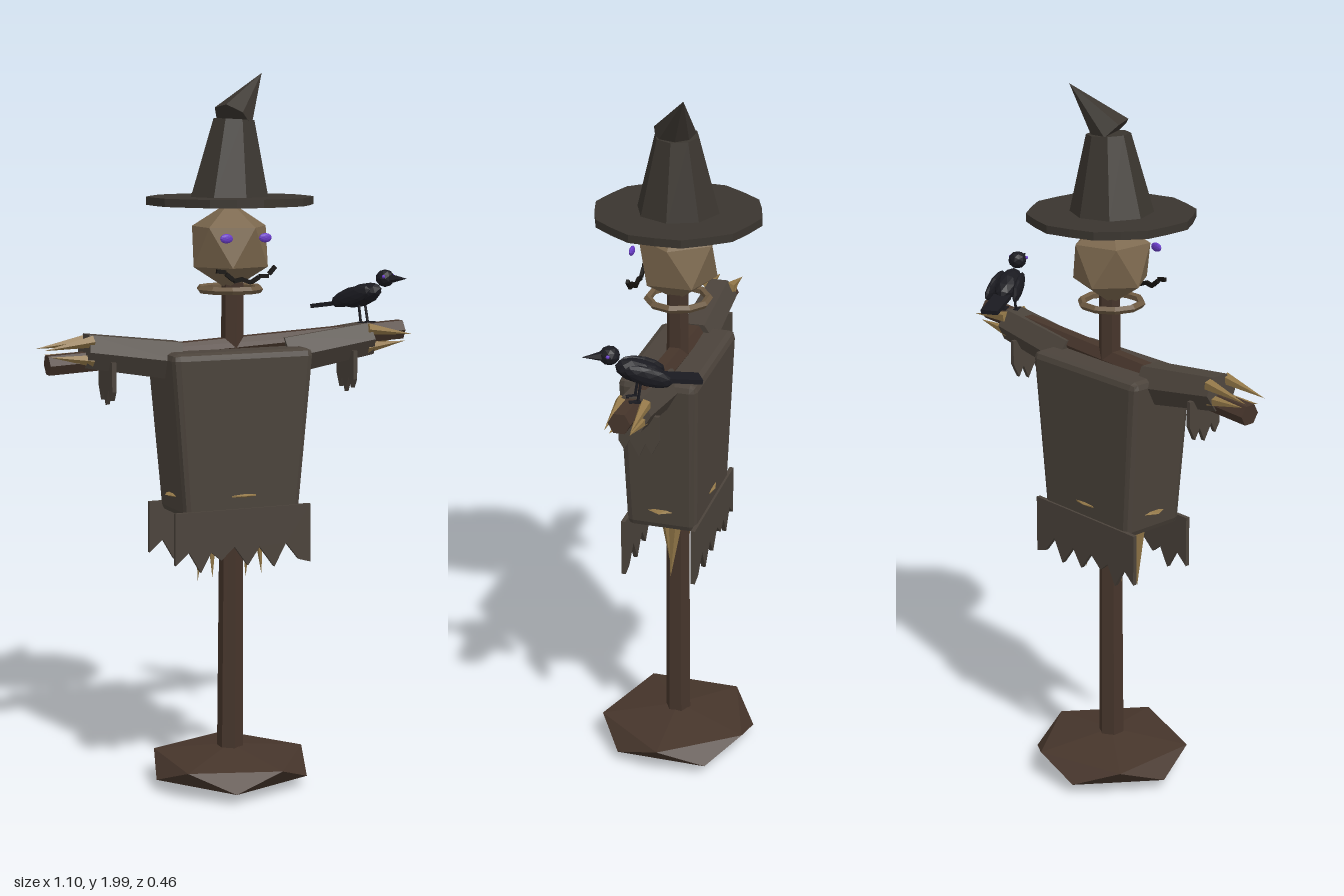
import * as THREE from 'three';
import { RoundedBoxGeometry } from 'three/addons/geometries/RoundedBoxGeometry.js';

const mat = (color) => new THREE.MeshStandardMaterial({ color, flatShading: true, side: THREE.DoubleSide });
const V = (x, y, z) => new THREE.Vector3(x, y, z);

export function createModel() {
  const root = new THREE.Group();
  const wood = mat(0x46352b), hatCloth = mat(0x3a352f), cloth = mat(0x4b433b), sack = mat(0x7c684e);
  const straw = mat(0x917647), rope = mat(0x6e5a42), feather = mat(0x1a1a20), glow = mat(0x6a3cc8), dark = mat(0x15120f);

  function add(name, geometry, material, pos = [0, 0, 0], parent = root) {
    const mesh = new THREE.Mesh(geometry, material);
    mesh.name = name;
    mesh.position.set(...pos);
    parent.add(mesh);
    return mesh;
  }
  // Tapered rod from a (radius ra) to b (radius rb)
  function rod(name, a, b, ra, rb, sides, material, parent = root) {
    const dir = b.clone().sub(a);
    const mesh = add(name, new THREE.CylinderGeometry(rb, ra, dir.length(), sides), material, [0, 0, 0], parent);
    mesh.position.copy(a).add(b).multiplyScalar(0.5);
    mesh.quaternion.setFromUnitVectors(V(0, 1, 0), dir.normalize());
    return mesh;
  }
  // Icosahedron balanced on one vertex
  function ico(rx, ry, rz) {
    const g = new THREE.IcosahedronGeometry(1, 0);
    g.rotateZ(-Math.atan(2 / (1 + Math.sqrt(5))));
    return g.scale(rx, ry, rz);
  }
  const blob = (rx, ry, rz) => new THREE.IcosahedronGeometry(1, 1).scale(rx, ry, rz);
  // Thin torn cloth: straight top edge, jagged bottom edge given left to right
  function rag(top, bottom, thickness) {
    const s = new THREE.Shape();
    s.moveTo(bottom[bottom.length - 1][0], top);
    s.lineTo(bottom[0][0], top);
    bottom.forEach(([x, y]) => s.lineTo(x, y));
    return new THREE.ExtrudeGeometry(s, { depth: thickness, bevelEnabled: false }).translate(0, 0, -thickness / 2);
  }

  // Ground mound and posts
  add('mound', ico(0.25, 0.056, 0.25), wood, [0, 0.063, 0]);
  rod('post', V(0, 0.08, 0), V(0.008, 1.46, 0), 0.037, 0.03, 6, wood);
  rod('crossbar', V(-0.53, 1.225, 0), V(0.53, 1.28, 0), 0.03, 0.03, 6, wood);

  // Torso, tapering towards the waist
  const torso = new RoundedBoxGeometry(0.42, 0.46, 0.22, 1, 0.02);
  const p = torso.attributes.position;
  for (let i = 0; i < p.count; i++) {
    const t = 0.5 - p.getY(i) / 0.46;
    p.setX(i, p.getX(i) * (1 - 0.19 * t));
    p.setZ(i, p.getZ(i) * (1 - 0.1 * t));
  }
  add('torso', torso, cloth, [0, 1.02, 0]);
  add('waistStraw', blob(0.194, 0.02, 0.108), straw, [0, 0.85, 0]);

  // Torn shirt hem, front and back
  const hem = [[-0.205, 0.67], [-0.165, 0.705], [-0.13, 0.645], [-0.1, 0.7], [-0.07, 0.675], [-0.03, 0.71],
    [0.01, 0.655], [0.045, 0.705], [0.09, 0.645], [0.125, 0.71], [0.165, 0.66], [0.2, 0.65]];
  for (const z of [0.1, -0.1]) add('hem', rag(0.815, hem, 0.012), cloth, [0, 0, z]);

  // Straw hanging under the torso
  [[-0.1, 0.02], [-0.05, -0.025], [0.045, 0.025], [0.1, -0.02]].forEach(([x, z]) =>
    rod('hangingStraw', V(x * 0.9, 0.8, z), V(x, 0.6, z * 0.3), 0.022, 0, 5, straw));

  // Sleeves with straw hands and torn cuffs
  const cuff = [[-0.055, 1.15], [-0.04, 1.125], [-0.025, 1.155], [0, 1.11], [0.018, 1.15], [0.035, 1.12], [0.055, 1.16]];
  for (const s of [-1, 1]) {
    rod('sleeve', V(s * 0.16, 1.222, 0), V(s * 0.425, 1.26, 0), 0.06, 0.052, 6, cloth);
    add('cuffRag', rag(1.23, cuff, 0.012).rotateY(Math.PI / 2), cloth, [s * 0.36, 0, 0]);
    [[0.028, 0.03], [0.025, -0.032], [-0.025, 0.025], [-0.02, -0.025]].forEach(([y, z], i) =>
      rod('handStraw', V(s * 0.41, 1.26 + y, z), V(s * (0.55 - 0.02 * (i > 1)), 1.258 + y * 0.35, z * 1.1), 0.017, 0, 5, straw));
  }

  // Head, face and neck rope
  add('head', ico(0.12, 0.122, 0.118), sack, [0, 1.53, 0]);
  for (const s of [-1, 1]) add('eye', blob(0.019, 0.013, 0.007), glow, [s * 0.057, 1.558, 0.112]);
  for (let i = -3; i <= 3; i++) {
    const stitch = add('mouthStitch', new THREE.BoxGeometry(0.027, 0.011, 0.009), dark,
      [i * 0.025, 1.443 + 0.003 * i * i, 0.117]);
    stitch.rotation.z = i * 0.16 + (i % 2 ? 0.35 : -0.35);
  }
  add('neckRope', new THREE.TorusGeometry(0.083, 0.011, 5, 10).rotateX(Math.PI / 2), rope, [0, 1.413, 0]);

  // Hat: scalloped brim, crown and bent tip
  const brim = new THREE.CylinderGeometry(0.23, 0.23, 0.022, 20);
  const bp = brim.attributes.position;
  for (let i = 0; i < bp.count; i++) {
    const step = Math.round(Math.atan2(bp.getX(i), bp.getZ(i)) / (Math.PI / 10));
    if (step % 2) {
      bp.setX(i, bp.getX(i) * 0.965);
      bp.setZ(i, bp.getZ(i) * 0.965);
    }
  }
  add('hatBrim', brim, hatCloth, [0, 1.655, 0]);
  rod('hatCrown', V(0, 1.66, 0), V(0.012, 1.875, 0), 0.115, 0.06, 8, hatCloth);
  rod('hatTip', V(0.005, 1.875, 0.008), V(0.115, 2, -0.047), 0.058, 0, 7, hatCloth);

  // Crow perched on the left arm, built facing +z and then turned
  const crow = new THREE.Group();
  crow.name = 'crow';
  crow.position.set(0.415, 1.375, -0.02);
  crow.rotation.y = 0.53;
  root.add(crow);
  const part = (name, g, m, pos, pitch = 0, yaw = 0) => add(name, g, m, pos, crow).rotation.set(pitch, yaw, 0);
  part('crowBody', blob(0.034, 0.032, 0.068), feather, [0, 0.004, 0], -0.35);
  part('crowHead', blob(0.026, 0.025, 0.027), feather, [0, 0.056, 0.078]);
  part('crowTail', new THREE.BoxGeometry(0.05, 0.012, 0.11), feather, [0, -0.026, -0.105], -0.15);
  rod('crowBeak', V(0, 0.056, 0.095), V(0, 0.058, 0.15), 0.014, 0, 5, feather, crow);
  for (const s of [-1, 1]) {
    part('crowWing', blob(0.012, 0.026, 0.066), feather, [s * 0.036, 0.002, -0.014], -0.35, s * -0.1);
    part('crowEye', blob(0.005, 0.005, 0.005), glow, [s * 0.024, 0.062, 0.088]);
    rod('crowLeg', V(s * 0.016, -0.015, 0), V(s * 0.018, -0.075, 0.01), 0.004, 0.004, 5, feather, crow);
    part('crowFoot', new THREE.BoxGeometry(0.014, 0.005, 0.03), feather, [s * 0.018, -0.073, 0.018]);
  }
  return root;
}
